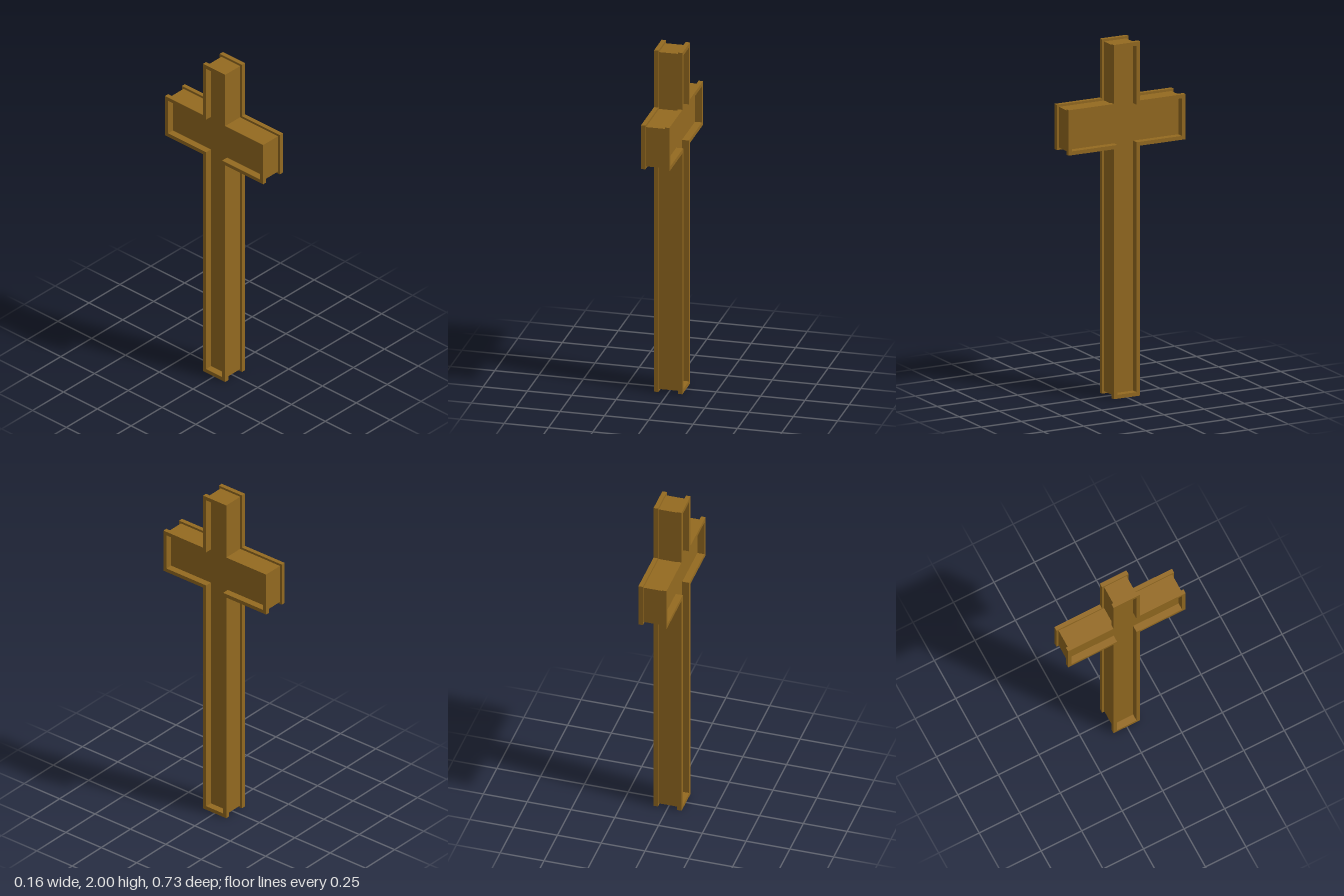
import * as THREE from 'three';

// Cross outline shrunk evenly by an inset
function crossPoints(inset) {
  const s = 0.082 - inset, a = 0.363 - inset;
  const bottom = inset, top = 2 - inset;
  const armLow = 1.411 + inset, armHigh = 1.667 - inset;
  return [
    [-s, bottom], [s, bottom], [s, armLow], [a, armLow], [a, armHigh], [s, armHigh],
    [s, top], [-s, top], [-s, armHigh], [-a, armHigh], [-a, armLow], [-s, armLow],
  ].map(([z, y]) => new THREE.Vector2(z, y));
}

// Extruded cross (optionally hollow) spanning x0..x1
function crossSlab(name, material, inset, holeInset, x0, x1) {
  const shape = new THREE.Shape(crossPoints(inset));
  if (holeInset !== null) shape.holes.push(new THREE.Path(crossPoints(holeInset)));
  const geometry = new THREE.ExtrudeGeometry(shape, { depth: x1 - x0, bevelEnabled: false });
  geometry.rotateY(-Math.PI / 2);
  geometry.translate(x1, 0, 0);
  const mesh = new THREE.Mesh(geometry, material);
  mesh.name = name;
  return mesh;
}

export function createModel() {
  const group = new THREE.Group();
  group.name = 'cross';
  const wood = new THREE.MeshStandardMaterial({ color: 0x946a20 });

  const bodyInset = 0.013, openingInset = 0.022;
  const floorX = 0.04, rimX = 0.055, faceX = 0.08;

  // Solid core, whose faces are the recessed panels
  group.add(crossSlab('core', wood, bodyInset, null, -floorX, floorX));

  // Recess walls and overhanging rims on both faces
  for (const [side, sign] of [['left', 1], ['right', -1]]) {
    const span = (a, b) => (sign > 0 ? [a, b] : [-b, -a]);
    group.add(crossSlab(side + 'RecessWall', wood, bodyInset, openingInset, ...span(floorX, rimX)));
    group.add(crossSlab(side + 'Rim', wood, 0, openingInset, ...span(rimX, faceX)));
  }
  return group;
}
